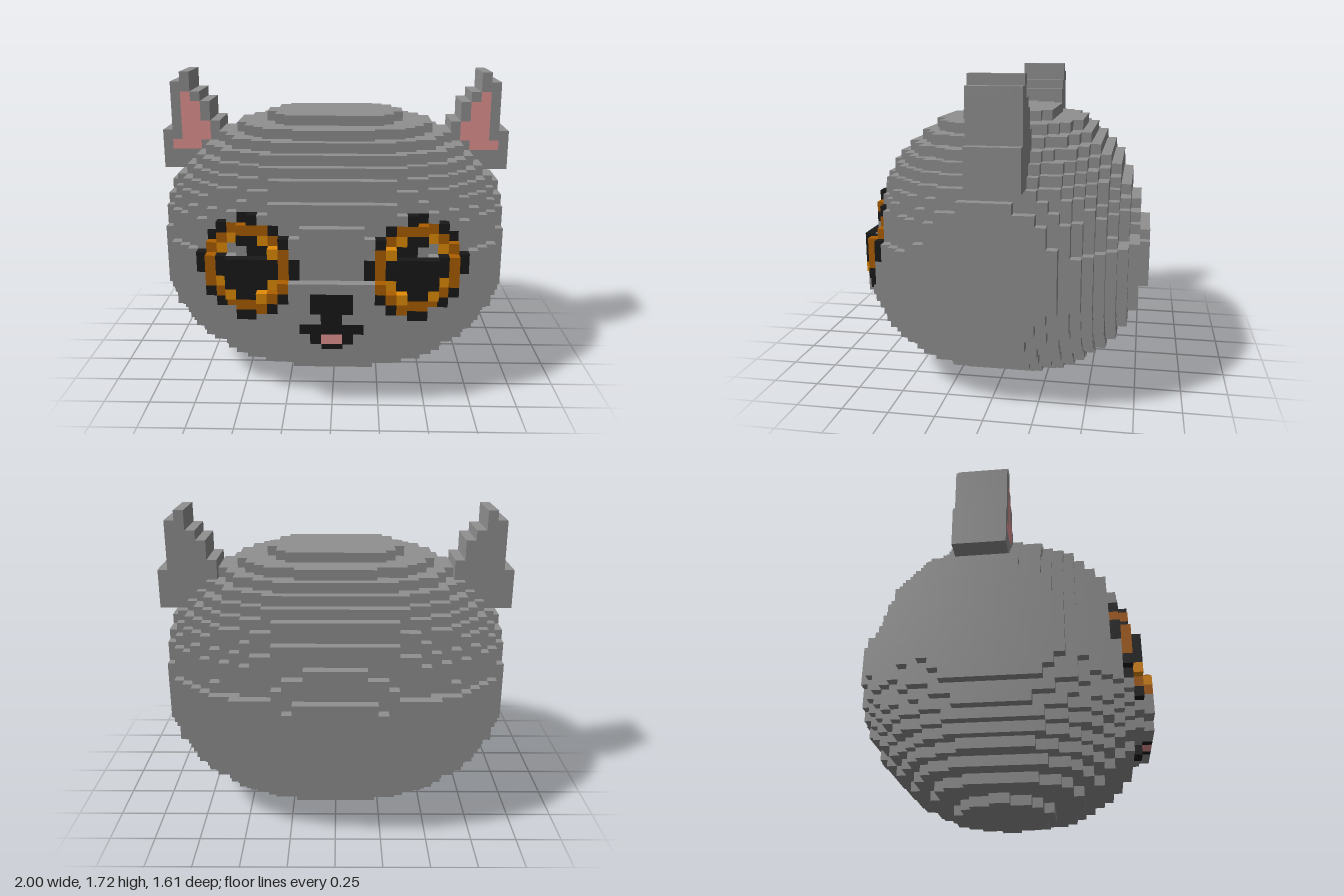
import * as THREE from 'three';

const S = 2 / 36; // edge length of one cube

const mat = (name, color) => Object.assign(new THREE.MeshStandardMaterial({ color }), { name });

// Painted eye, top row first: B black, D dark amber, L light amber, dot leaves the fur
const EYE = [
  '....BB....',
  '..BDDDDB..',
  '.BDLBBLDB.',
  '.DLBB..LD.',
  'BDBBBBBBDB',
  'BDBBBBBBDB',
  '.DLBBBBLD.',
  '.BDLBBLDB.',
  '..BDDDDB..',
  '....BB....',
];
// Nose and mouth: B black, P pink
const MUZZLE = [
  '.BBBB.',
  '.BBBB.',
  '..BB..',
  'BBBBBB',
  '.BPPB.',
  '..BB..',
];
// Ear rows from row 21 upwards: [inner column, outer column, pink from, pink to]
const EAR = [
  [13, 17], [13, 17], [13, 17, 14, 16], [12, 17, 13, 15], [12, 16, 13, 15],
  [13, 16, 14, 15], [13, 16, 14, 15], [14, 16, 15, 15], [15, 16], [15, 15],
];

const oval = (...terms) => terms.reduce((sum, t) => sum + Math.abs(t) ** 2.2, 0) <= 1;

// Rounded head: level sections grow squarer towards top and bottom, the upper half is
// slimmer from front to back, and shallow caps sit on the front and back
function insideHead(x, y, z) {
  if (z === 14) return oval(x / 7.2, (y + 3.5) / 3.2);
  if (z === -14) return oval(x / 5.4, (y + 1.5) / 3.2);
  const depth = y < 2 ? 14.75 : 13.45;
  const shift = y === -13 ? 0.5 : 0; // the base reaches one cube further back
  const e = 2.3 + 0.02 * Math.abs(y);
  const level = (Math.abs(x / 17.95) ** e + Math.abs((z + shift) / depth) ** e) ** (1 / e);
  return oval(level, (y - 0.12) / 13.6);
}

// One mesh from the exposed faces of a list of cubes
function cubeMesh(name, cubes, isFilled, material) {
  const positions = [], normals = [], index = [];
  for (const c of cubes) {
    for (let a = 0; a < 3; a++) {
      for (const d of [1, -1]) {
        const next = [...c];
        next[a] += d;
        if (isFilled(next)) continue;
        const u = (a + 1) % 3, v = (a + 2) % 3, base = positions.length / 3;
        for (const [p, q] of [[0, 0], [1, 0], [1, 1], [0, 1]]) {
          const corner = [...c], normal = [0, 0, 0];
          corner[a] += d > 0 ? 1 : 0;
          corner[u] += p;
          corner[v] += q;
          normal[a] = d;
          positions.push(corner[0] * S, corner[1] * S, (corner[2] - 0.5) * S);
          normals.push(...normal);
        }
        const order = d > 0 ? [0, 1, 2, 0, 2, 3] : [0, 2, 1, 0, 3, 2];
        index.push(...order.map((n) => base + n));
      }
    }
  }
  const geometry = new THREE.BufferGeometry();
  geometry.setAttribute('position', new THREE.Float32BufferAttribute(positions, 3));
  geometry.setAttribute('normal', new THREE.Float32BufferAttribute(normals, 3));
  geometry.setIndex(index);
  const mesh = new THREE.Mesh(geometry, material);
  mesh.name = name;
  return mesh;
}

export function createModel() {
  const fur = mat('grey fur', 0x909090);
  const black = mat('black', 0x191919);
  const darkAmber = mat('dark amber', 0xac5e00);
  const lightAmber = mat('light amber', 0xe28c06);
  const pink = mat('pink', 0xe69595);

  const cells = new Map(); // cube position -> part name
  const materials = {}; // part name -> material
  const key = (c) => c.join();
  const put = (part, material, i, j, k) => {
    materials[part] = material;
    cells.set(key([i, j, k]), part);
  };

  // Head
  for (let i = -17; i < 17; i++)
    for (let j = 0; j < 27; j++)
      for (let k = -14; k <= 14; k++)
        if (insideHead(i + 0.5, j - 13, k)) put('head', fur, i, j, k);

  // Paint the frontmost cube of a column
  const paint = (part, material, i, j) => {
    let k = 14;
    while (k > 0 && !cells.has(key([i, j, k]))) k--;
    put(part, material, i, j, k);
  };

  // Eyes and ears, mirrored
  const eyeParts = { B: ['PupilAndLashes', black], D: ['IrisRing', darkAmber], L: ['IrisGlow', lightAmber] };
  for (const side of ['left', 'right']) {
    const col = (i) => (side === 'left' ? i : -1 - i);

    EYE.forEach((row, r) => [...row].forEach((ch, n) => {
      if (ch === '.') return;
      const [part, material] = eyeParts[ch];
      paint(side + part, material, col(3 + n), 18 - r);
    }));

    EAR.forEach(([from, to, pinkFrom, pinkTo], r) => {
      for (let i = from; i <= to; i++)
        for (let k = -3; k <= 1; k++) {
          const inner = k === 1 && i >= pinkFrom && i <= pinkTo;
          put(side + (inner ? 'InnerEar' : 'Ear'), inner ? pink : fur, col(i), 21 + r, k);
        }
    });
  }

  // Nose, mouth and tongue
  MUZZLE.forEach((row, r) => [...row].forEach((ch, n) => {
    if (ch === 'P') paint('tongue', pink, n - 3, 11 - r);
    if (ch === 'B') paint(r < 2 ? 'nose' : 'mouth', black, n - 3, 11 - r);
  }));

  // Sort the cubes by part and build one mesh for each
  const parts = {};
  for (const [k, part] of cells) (parts[part] ??= []).push(k.split(',').map(Number));
  const model = new THREE.Group();
  model.name = 'animalHead';
  for (const [part, cubes] of Object.entries(parts))
    model.add(cubeMesh(part, cubes, (c) => cells.has(key(c)), materials[part]));
  return model;
}
